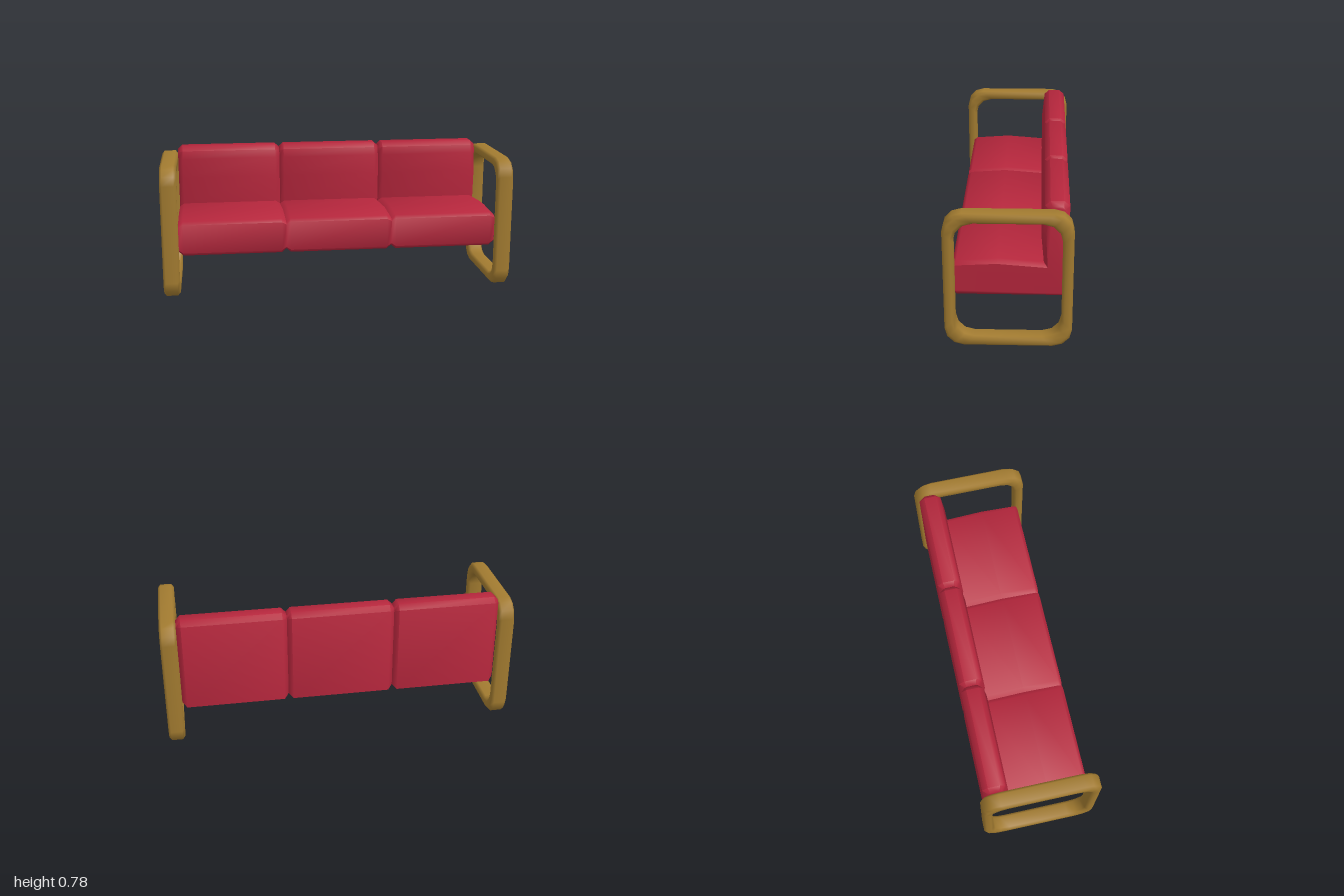
import * as THREE from 'three';
import { toCreasedNormals } from 'three/addons/utils/BufferGeometryUtils.js';

// Skins a grid of points: rows[k][i] = [x, y, z], optionally closed in each direction
function skin(rows, closeRows, caps = []) {
  const n = rows[0].length, index = [];
  const last = closeRows ? rows.length : rows.length - 1;
  for (let k = 0; k < last; k++) {
    for (let i = 0; i < n; i++) {
      const k2 = (k + 1) % rows.length, i2 = (i + 1) % n;
      const a = k * n + i, b = k2 * n + i, c = k2 * n + i2, d = k * n + i2;
      index.push(a, b, c, a, c, d);
    }
  }
  const g = new THREE.BufferGeometry();
  g.setAttribute('position', new THREE.Float32BufferAttribute(rows.flat(2), 3));
  g.setIndex(index.concat(caps));
  g.computeVertexNormals();
  return g;
}

// Rounded rectangle in the z-y plane, four points per corner
function roundedLoop(halfZ, y0, y1, r) {
  const pts = [];
  for (let c = 0; c < 4; c++) {
    const cz = (c === 0 || c === 3 ? 1 : -1) * (halfZ - r);
    const cy = c < 2 ? y1 - r : y0 + r;
    for (let s = 0; s < 4; s++) {
      const a = c * Math.PI / 2 + s * Math.PI / 6;
      pts.push([cz + r * Math.cos(a), cy + r * Math.sin(a)]);
    }
  }
  return pts;
}

// Closed side frame with a softened rectangular section
function frameGeometry() {
  const outer = roundedLoop(0.33, 0, 0.757, 0.1);
  const inner = roundedLoop(0.275, 0.055, 0.702, 0.1);
  // [share of the way from outer to inner edge, x]
  const section = [[0, -0.032], [0, 0.032], [0.25, 0.046], [0.75, 0.046],
    [1, 0.032], [1, -0.032], [0.75, -0.046], [0.25, -0.046]];
  const rows = section.map(([t, x]) => outer.map(([z, y], i) => [
    x, THREE.MathUtils.lerp(y, inner[i][1], t), THREE.MathUtils.lerp(z, inner[i][0], t)]));
  return skin(rows, true);
}

// Seat and back in one L-shaped piece: [z, y, inset z, inset y] at the sides
const PROFILE = [
  [0.27, 0.245, 0.27, 0.268], [0.29, 0.262, 0.288, 0.28],
  [0.29, 0.425, 0.288, 0.412], [0.27, 0.442, 0.27, 0.425],
  [0.06, 0.457, 0.06, 0.437], [-0.18, 0.439, -0.2, 0.417],
  [-0.165, 0.6, -0.19, 0.6], [-0.177, 0.71, -0.2, 0.71],
  [-0.182, 0.757, -0.205, 0.745], [-0.21, 0.783, -0.22, 0.76],
  [-0.277, 0.783, -0.27, 0.76], [-0.308, 0.757, -0.283, 0.745],
  [-0.308, 0.245, -0.283, 0.268],
];

function cushionGeometry(halfWidth, bevel) {
  const full = x => PROFILE.map(p => [x, p[1], p[0]]);
  const inset = x => PROFILE.map(p => [x, p[3], p[2]]);
  const rows = [inset(-halfWidth), full(bevel - halfWidth), full(halfWidth - bevel), inset(halfWidth)];
  // Flat side caps
  const contour = PROFILE.map(p => new THREE.Vector2(p[2], p[3]));
  const caps = [], far = 3 * PROFILE.length;
  for (const [a, b, c] of THREE.ShapeUtils.triangulateShape(contour, [])) {
    caps.push(a, b, c, far + a, far + c, far + b);
  }
  return toCreasedNormals(skin(rows, false, caps), 0.9);
}

export function createModel() {
  const model = new THREE.Group();
  model.name = 'sofa';
  const wood = new THREE.MeshStandardMaterial({ color: 0xa27b30 });
  wood.name = 'golden wood';
  const fabric = new THREE.MeshStandardMaterial({ color: 0xb5263c });
  fabric.name = 'red fabric';

  // Side frames serving as legs and armrests
  const frame = frameGeometry();
  for (const [name, side] of [['leftFrame', 1], ['rightFrame', -1]]) {
    const mesh = new THREE.Mesh(frame, wood);
    mesh.name = name;
    mesh.position.x = side * 0.954;
    model.add(mesh);
  }

  // Three equal seats side by side
  const cushion = cushionGeometry(0.303, 0.026);
  ['rightCushion', 'middleCushion', 'leftCushion'].forEach((name, i) => {
    const mesh = new THREE.Mesh(cushion, fabric);
    mesh.name = name;
    mesh.position.x = (i - 1) * 0.605;
    model.add(mesh);
  });
  return model;
}
